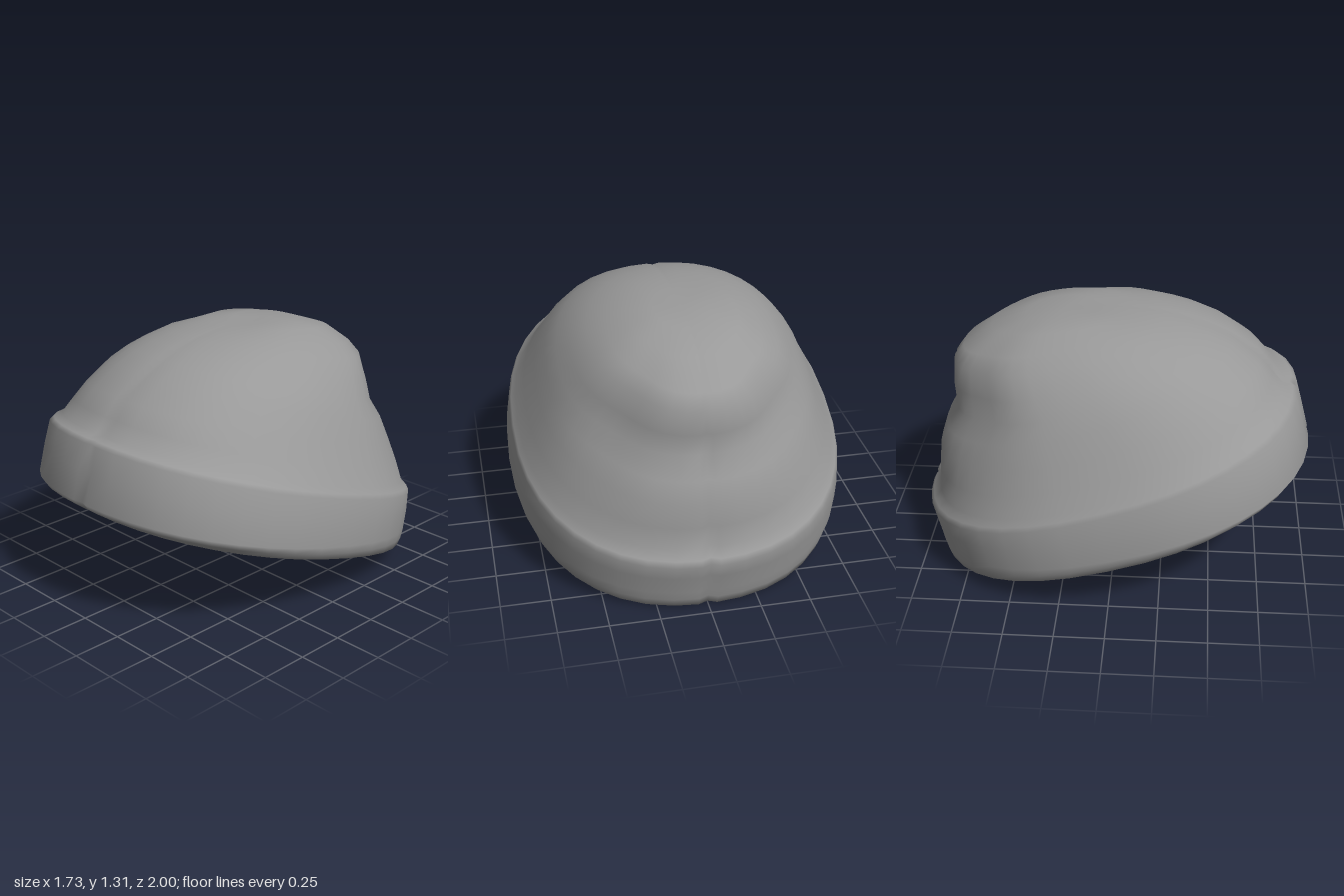
import * as THREE from 'three';

const wool = new THREE.MeshStandardMaterial({ color: 0x999999 });
wool.name = 'grey wool';

// Angles round the hat, with extra ones beside the front and back seams
const angles = [];
for (let i = 0; i < 40; i++) {
  const a = (i / 40) * Math.PI * 2;
  if (i % 20 === 0) angles.push(a - 0.035, a, a + 0.035);
  else angles.push(a);
}

// A tilted loop: front and back points in the side plane, half width,
// pinch of the two back quarters, lift of the sides
function loopPoints([zf, yf, zb, yb, w, pinch = 0, lift = 0], seam) {
  const zc = (zf + zb) / 2, yc = (yf + yb) / 2, n = 2 / 2.3;
  return angles.map((a) => {
    const s = Math.sin(a), c = Math.cos(a);
    const fold = 1 - pinch * Math.exp(-(((Math.acos(c) - 2.35) / 0.38) ** 2));
    const ps = Math.sign(s) * Math.abs(s) ** n * fold;
    let pc = Math.sign(c) * Math.abs(c) ** n * fold;
    if (Math.abs(s) < 1e-6) pc *= 1 - seam;
    return [ps * w, yc + (pc * (yf - yb)) / 2 + lift * (1 - pc * pc), zc + (pc * (zf - zb)) / 2];
  });
}

// Skin over a stack of loops; an optional point closes the last one
function skin(name, loops, seam, tip) {
  const pos = [], idx = [], n = angles.length;
  loops.forEach((l) => loopPoints(l, seam).forEach((p) => pos.push(...p)));
  for (let r = 0; r < loops.length - 1; r++) {
    for (let i = 0; i < n; i++) {
      const a = r * n + i, b = r * n + ((i + 1) % n);
      idx.push(a, b, b + n, a, b + n, a + n);
    }
  }
  if (tip) {
    const base = (loops.length - 1) * n;
    pos.push(...tip);
    for (let i = 0; i < n; i++) idx.push(base + i, base + ((i + 1) % n), loops.length * n);
  }
  const g = new THREE.BufferGeometry();
  g.setAttribute('position', new THREE.Float32BufferAttribute(pos, 3));
  g.setIndex(idx);
  g.computeVertexNormals();
  const mesh = new THREE.Mesh(g, wool);
  mesh.name = name;
  return mesh;
}

export function createModel() {
  const hat = new THREE.Group();
  hat.name = 'beanie';
  const rim = [0.875, 0.545, -0.87, 0.008, 0.805];

  // Folded cuff flowing into the crown, which is pinched in at the back
  // below a rounded upper lobe
  hat.add(skin('cuffAndCrown', [
    rim,
    [0.93, 0.56, -0.927, 0.002, 0.835],
    [0.98, 0.598, -0.945, 0.05, 0.855],
    [1.0, 0.63, -0.955, 0.1, 0.865],
    [0.96, 0.78, -0.98, 0.2, 0.86],
    [0.925, 0.905, -1.0, 0.275, 0.845],
    [0.9, 0.92, -0.985, 0.305, 0.835],
    [0.85, 0.93, -0.945, 0.35, 0.812],
    [0.79, 1.0, -0.94, 0.46, 0.768, 0.015],
    [0.72, 1.08, -0.93, 0.58, 0.712, 0.035],
    [0.58, 1.175, -0.895, 0.69, 0.66, 0.05],
    [0.47, 1.225, -0.835, 0.8, 0.605, 0.065],
    [0.37, 1.26, -0.845, 0.91, 0.545, 0.08],
    [0.25, 1.29, -0.84, 1.03, 0.46, 0.085, 0.01],
    [0.14, 1.303, -0.79, 1.1, 0.37, 0.08, 0.015],
    [0.04, 1.31, -0.64, 1.21, 0.27, 0.06, 0.02],
    [-0.08, 1.31, -0.46, 1.275, 0.14, 0, 0.01],
  ], 0.016, [0, 1.298, -0.27]));

  // Inner lip and shallow hollow closing the opening, wound to face down
  const under = skin('underside', [
    rim,
    [0.845, 0.56, -0.845, 0.04, 0.785],
  ], 0.016, [0, 0.325, 0.01]);
  under.geometry.setIndex([...under.geometry.index.array].reverse());
  under.geometry.computeVertexNormals();
  hat.add(under);

  return hat;
}
